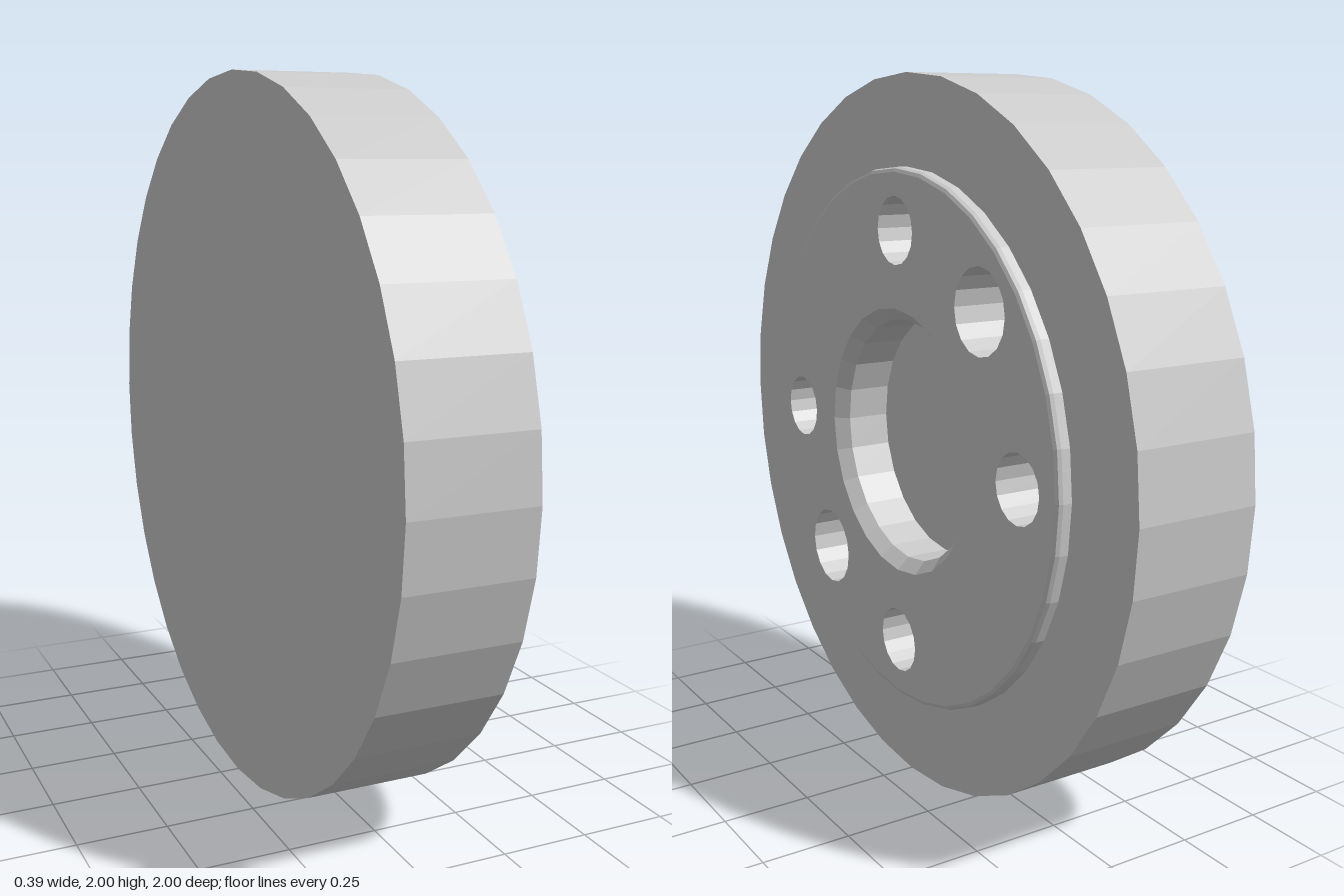
import * as THREE from 'three';

const FACE = 0.195; // x of the raised front face
const material = new THREE.MeshStandardMaterial({ color: 0xcccccc, flatShading: true });

// Revolve a profile of [radius, x] pairs around the x axis
function turned(name, profile, sides) {
  const geo = new THREE.LatheGeometry(profile.map(([r, x]) => new THREE.Vector2(r, x)), sides);
  geo.rotateZ(-Math.PI / 2);
  const mesh = new THREE.Mesh(geo, material);
  mesh.name = name;
  return mesh;
}

// Regular polygon with corners on the axes
function ring(cx, cy, r, sides) {
  return Array.from({ length: sides }, (_, i) => {
    const a = (i / sides) * Math.PI * 2;
    return new THREE.Vector2(cx + r * Math.cos(a), cy + r * Math.sin(a));
  });
}

export function createModel() {
  const model = new THREE.Group();
  model.name = 'flangeDisc';
  const wheel = new THREE.Group();
  wheel.name = 'disc';
  wheel.position.y = 1;
  model.add(wheel);

  // Thick disc with a raised, softly chamfered boss
  wheel.add(turned('discBody', [
    [0, -0.195], [1, -0.195], [1, 0.155], [0.755, 0.155],
    [0.755, 0.18], [0.751, 0.19], [0.742, FACE],
  ], 36));

  // Chamfered central recess with a flat floor
  wheel.add(turned('centreRecess', [
    [0.375, FACE], [0.342, FACE - 0.035], [0.342, 0.035], [0, 0.035],
  ], 24));

  // Four small bolt holes and two larger dowel holes on one pitch circle
  const holes = [0, 90, 180, 270].map((deg) => ({ name: 'boltHole', deg, r: 0.093 }));
  holes.push(...[45, 225].map((deg) => ({ name: 'dowelHole', deg, r: 0.114 })));

  const face = new THREE.Shape(ring(0, 0, 0.742, 36));
  face.holes.push(new THREE.Path(ring(0, 0, 0.375, 24)));

  for (const { name, deg, r } of holes) {
    const a = THREE.MathUtils.degToRad(deg);
    const u = 0.586 * Math.cos(a), v = 0.586 * Math.sin(a);
    face.holes.push(new THREE.Path(ring(u, v, r, 16)));
    // Straight bore ending in a drill-point cone
    const bore = turned(name, [[r, FACE], [r, -0.05], [0, -0.05 - r * 0.58]], 16);
    bore.position.set(0, v, -u);
    wheel.add(bore);
  }

  // Pierced front face of the boss
  const faceGeo = new THREE.ShapeGeometry(face);
  faceGeo.rotateY(Math.PI / 2);
  const faceMesh = new THREE.Mesh(faceGeo, material);
  faceMesh.name = 'bossFace';
  faceMesh.position.x = FACE;
  wheel.add(faceMesh);

  return model;
}
